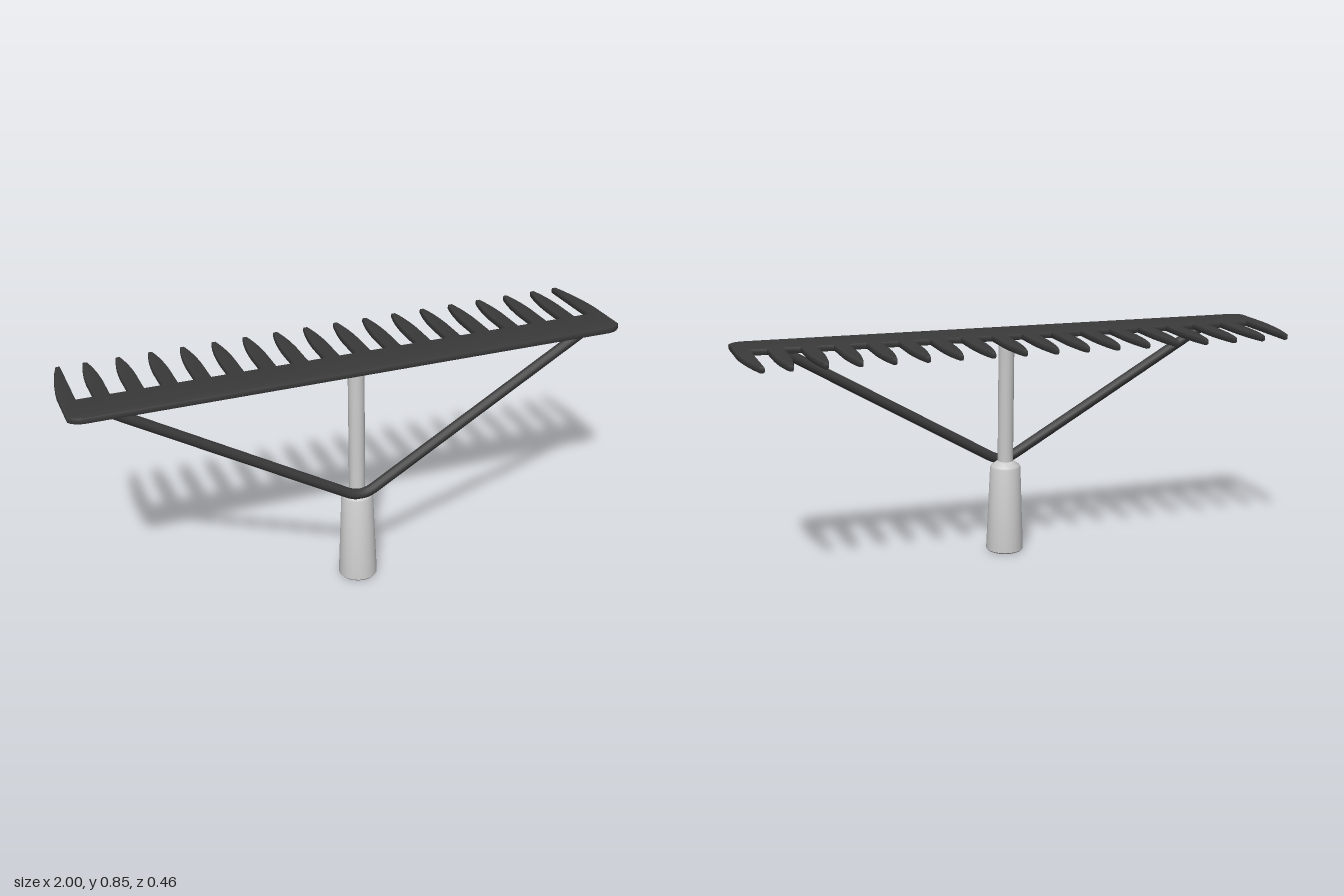
import * as THREE from 'three';
import { toCreasedNormals } from 'three/addons/utils/BufferGeometryUtils.js';

const grey = new THREE.MeshStandardMaterial({ color: 0xcccccc, side: THREE.DoubleSide });
const dark = new THREE.MeshStandardMaterial({ color: 0x3a3a3a });

function part(name, geometry, material) {
  const mesh = new THREE.Mesh(geometry, material);
  mesh.name = name;
  return mesh;
}

// Flat comb outline: x across, y towards the tine tips
function headShape() {
  const front = -0.072, root = 0.078, tip = 0.357;
  const s = new THREE.Shape();
  s.moveTo(-0.95, front);
  s.lineTo(0.95, front);
  s.quadraticCurveTo(0.985, front + 0.005, 1, front + 0.03);
  // outer tine, straight inside and curved outside
  s.lineTo(1, 0.13);
  s.quadraticCurveTo(0.992, 0.25, 0.962, tip);
  s.lineTo(0.945, tip);
  s.lineTo(0.945, root);
  // inner tines, right to left
  for (let i = 15; i >= 0; i--) {
    const x = -0.86 + (i * 1.72) / 15;
    s.lineTo(x + 0.028, root);
    s.lineTo(x + 0.028, 0.2);
    s.quadraticCurveTo(x + 0.025, 0.29, x + 0.008, tip);
    s.lineTo(x - 0.008, tip);
    s.quadraticCurveTo(x - 0.025, 0.29, x - 0.028, 0.2);
    s.lineTo(x - 0.028, root);
  }
  s.lineTo(-0.945, root);
  s.lineTo(-0.945, tip);
  s.lineTo(-0.962, tip);
  s.quadraticCurveTo(-0.992, 0.25, -1, 0.13);
  s.lineTo(-1, front + 0.03);
  s.quadraticCurveTo(-0.985, front + 0.005, -0.95, front);
  return s;
}

export function createModel() {
  const model = new THREE.Group();
  model.name = 'rakeHead';
  const rake = new THREE.Group();
  rake.name = 'tiltedAssembly';
  rake.position.set(0, 0.005, 0.158);
  rake.rotation.x = -0.036;
  model.add(rake);

  // Toothed plate with softened edges
  const bevel = 0.007, thickness = 0.024;
  const plate = new THREE.ExtrudeGeometry(headShape(), {
    depth: thickness - 2 * bevel, bevelThickness: bevel, bevelSize: bevel,
    bevelOffset: -bevel, bevelSegments: 2, curveSegments: 5,
  });
  plate.rotateX(-Math.PI / 2);
  plate.translate(0, 0.833 - thickness / 2 + bevel, 0);
  rake.add(part('toothedPlate', toCreasedNormals(plate, 0.7), dark));

  // Hollow tapered socket with a shoulder
  const profile = [
    [0.001, 0.31], [0.048, 0.31], [0.061, 0], [0.066, 0], [0.07, 0.005],
    [0.057, 0.325], [0.054, 0.332], [0.03, 0.349], [0.028, 0.35],
  ].map(([r, y]) => new THREE.Vector2(r, y));
  const socket = new THREE.LatheGeometry(profile, 20).toNonIndexed();
  rake.add(part('handleSocket', toCreasedNormals(socket, 0.6), grey));

  // Neck from socket to plate
  const neck = new THREE.CylinderGeometry(0.029, 0.029, 0.5, 20);
  neck.translate(0, 0.58, 0);
  rake.add(part('neck', neck, grey));

  // Bent brace: two straight arms joined by a small elbow
  const p = (x, y) => new THREE.Vector3(x, y, 0.037);
  const path = new THREE.CurvePath();
  path.add(new THREE.LineCurve3(p(-0.85, 0.827), p(-0.05, 0.362)));
  path.add(new THREE.QuadraticBezierCurve3(p(-0.05, 0.362), p(0, 0.333), p(0.05, 0.362)));
  path.add(new THREE.LineCurve3(p(0.05, 0.362), p(0.85, 0.827)));
  rake.add(part('brace', new THREE.TubeGeometry(path, 120, 0.019, 12), dark));

  return model;
}
